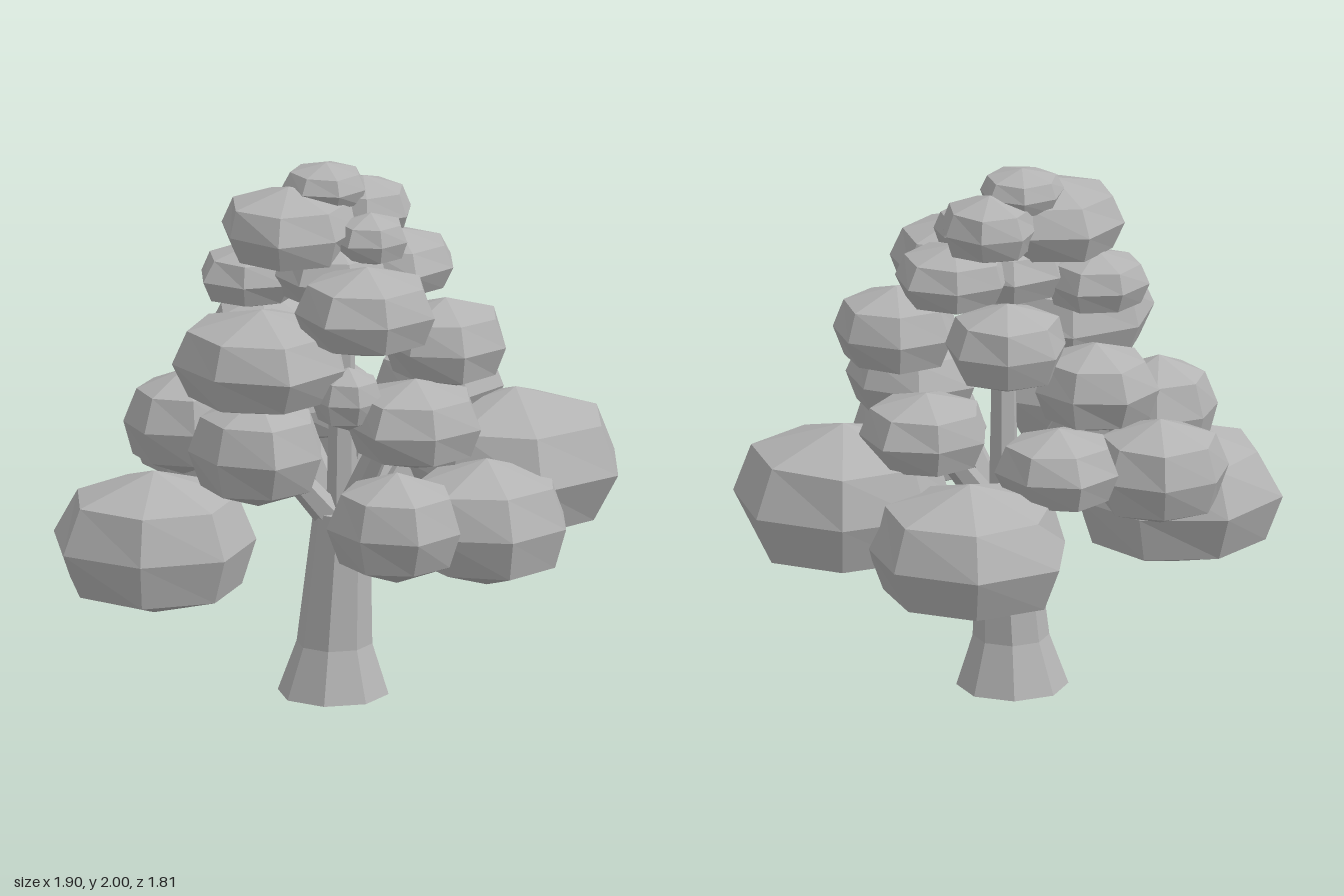
import * as THREE from 'three';

const bark = new THREE.MeshStandardMaterial({ color: 0xb4b4b4, flatShading: true, side: THREE.DoubleSide });
bark.name = 'bark grey';
const leaf = new THREE.MeshStandardMaterial({ color: 0xb4b4b4, flatShading: true });
leaf.name = 'leaf grey';

// Foliage clumps: centre x, y, z, radius, half height, heading of one corner in degrees
const CLUMPS = [
  // lowest tier
  [-0.55, 0.63, 0.54, 0.37, 0.27, 180],
  [0.41, 0.79, 0.57, 0.245, 0.21],
  [0.59, 0.71, 0.12, 0.31, 0.24],
  [0.55, 0.82, -0.28, 0.39, 0.29, 4],
  [0.04, 0.73, -0.54, 0.37, 0.26, -104],
  [-0.58, 0.9, -0.02, 0.25, 0.2, -155],
  // middle tier
  [-0.52, 1.03, 0.32, 0.21, 0.2, 160],
  [-0.15, 1.01, 0.52, 0.25, 0.21, 107],
  [-0.25, 0.98, -0.3, 0.225, 0.16, -120],
  [0.24, 1.09, -0.3, 0.235, 0.16, -60],
  [0.38, 1.11, 0.3, 0.25, 0.17],
  [0.16, 1.21, 0.41, 0.13, 0.12],
  [-0.36, 1.25, -0.13, 0.225, 0.17, 180],
  [-0.16, 1.33, 0.46, 0.32, 0.2],
  // upper tier
  [0.41, 1.36, 0.07, 0.23, 0.17],
  [-0.05, 1.42, -0.24, 0.22, 0.17, -100],
  [0.22, 1.54, 0.38, 0.26, 0.17],
  [-0.32, 1.56, 0.15, 0.19, 0.12, 180],
  [0, 1.6, 0.14, 0.22, 0.13],
  [0.18, 1.61, -0.04, 0.215, 0.13],
  // crown
  [-0.15, 1.77, 0.21, 0.255, 0.16, 180],
  [0.05, 1.8, -0.03, 0.18, 0.13, -90],
  [0.14, 1.74, 0.13, 0.14, 0.1],
  [-0.05, 1.91, 0.09, 0.155, 0.09],
];

// Low faceted ball with full rings and a gentle irregularity
function makeClump([x, y, z, radius, height, heading = 0], i) {
  const geo = new THREE.SphereGeometry(1, 7, 4);
  geo.rotateY(Math.PI - THREE.MathUtils.degToRad(heading));
  const p = geo.attributes.position;
  for (let k = 0; k < p.count; k++) {
    const a = p.getX(k), b = p.getY(k), c = p.getZ(k);
    const ring = Math.abs(b) > 0.1 && Math.abs(b) < 0.9;
    const wobble = 1 + 0.05 * Math.sin(4 * a + 2 * b + i * 2.1) * Math.cos(3 * c + i);
    const side = wobble * radius * (ring ? 1.2 : 1.02);
    p.setXYZ(k, a * side, b * height * (ring ? 0.88 : 1), c * side);
  }
  geo.computeVertexNormals();
  const mesh = new THREE.Mesh(geo, leaf);
  mesh.name = 'foliageClump' + (i + 1);
  mesh.position.set(x, y, z);
  return mesh;
}

// Tapered faceted limb between two points
function makeLimb(from, to, r0, r1, sides, name) {
  const a = new THREE.Vector3(...from), b = new THREE.Vector3(...to);
  const dir = b.clone().sub(a);
  const mesh = new THREE.Mesh(new THREE.CylinderGeometry(r1, r0, dir.length(), sides), bark);
  mesh.position.copy(a).add(b).multiplyScalar(0.5);
  mesh.quaternion.setFromUnitVectors(new THREE.Vector3(0, 1, 0), dir.normalize());
  mesh.name = name;
  return mesh;
}

// Flared trunk, open underneath: eight-sided rings as [radius, height, x, z]
function makeTrunk() {
  const rings = [[0.205, 0, -0.01, 0.12], [0.14, 0.19, -0.005, 0.12],
    [0.105, 0.69, 0.02, 0.11], [0, 0.7, 0.02, 0.11]];
  const geo = new THREE.LatheGeometry(rings.map(([r, y]) => new THREE.Vector2(r, y)), 8, 0.2);
  const p = geo.attributes.position;
  for (let k = 0; k < p.count; k++) {
    const [, , x, z] = rings[k % rings.length];
    p.setX(k, p.getX(k) + x);
    p.setZ(k, p.getZ(k) + z);
  }
  geo.computeVertexNormals();
  const mesh = new THREE.Mesh(geo, bark);
  mesh.name = 'trunk';
  return mesh;
}

export function createModel() {
  const tree = new THREE.Group();
  tree.name = 'tree';
  tree.add(makeTrunk());

  // Branches fan out from the trunk top into the foliage
  const tips = [[0.26, 1.1, 0.22], [-0.17, 0.92, 0.28], [-0.27, 1.15, 0.0],
    [0.2, 1.0, -0.18], [0.02, 1.5, 0.1]];
  const branches = new THREE.Group();
  branches.name = 'branches';
  tips.forEach((tip, i) =>
    branches.add(makeLimb([0.02, 0.62, 0.11], tip, 0.06, 0.04, 6, 'branch' + (i + 1))));
  tree.add(branches);

  const foliage = new THREE.Group();
  foliage.name = 'foliage';
  CLUMPS.forEach((c, i) => foliage.add(makeClump(c, i)));
  tree.add(foliage);
  return tree;
}
